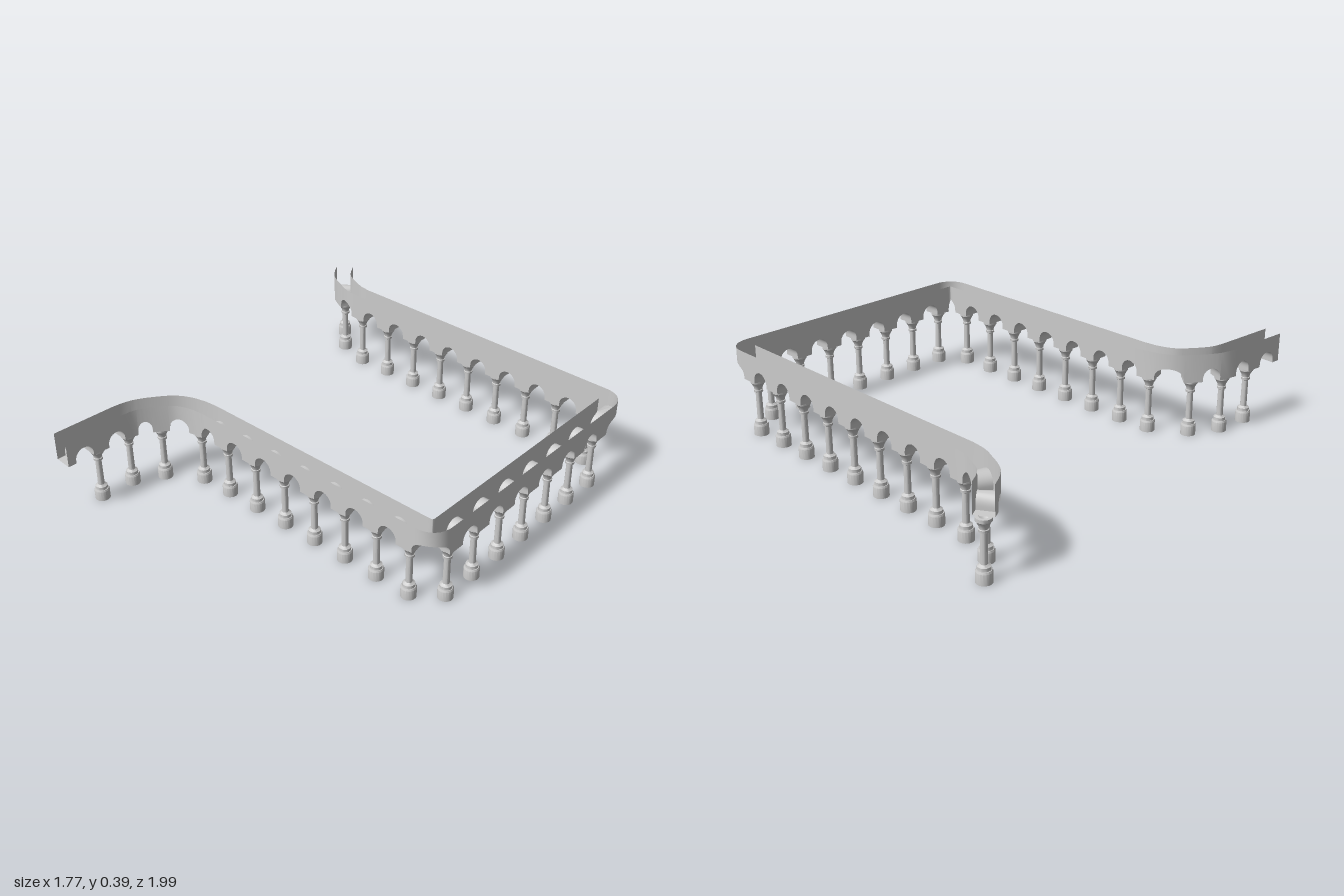
import * as THREE from 'three';
import { toCreasedNormals } from 'three/addons/utils/BufferGeometryUtils.js';

const HALF_WIDTH = 0.041, TOP = 0.388, SPRING = 0.26, STILT = 0.015, RISE = 0.045, PIER = 0.039;
const FRONT_Z = 0.433, BACK_Z = -0.802, SIDE_X = 0.843, BEND = 0.06;

const v = (x, z) => new THREE.Vector3(x, 0, z);

// Plan of the arcade: a curved wing, three straight runs with tight corners, a second curved wing
function createPath() {
  const path = new THREE.CurvePath();
  const line = (a, b) => path.add(new THREE.LineCurve3(a, b));
  const bend = (a, b, c) => path.add(new THREE.QuadraticBezierCurve3(a, b, c));
  const wing = (pts) => path.add(new THREE.CatmullRomCurve3(pts.map(([x, z]) => v(x, z))));
  line(v(-0.686, 0.99), v(-0.665, 0.69));
  wing([[-0.665, 0.69], [-0.653, 0.632], [-0.605, 0.55], [-0.54, 0.478], [-0.46, 0.443], [-0.38, FRONT_Z]]);
  line(v(-0.38, FRONT_Z), v(SIDE_X - BEND, FRONT_Z));
  bend(v(SIDE_X - BEND, FRONT_Z), v(SIDE_X, FRONT_Z), v(SIDE_X, FRONT_Z - BEND));
  line(v(SIDE_X, FRONT_Z - BEND), v(SIDE_X, BACK_Z + BEND));
  bend(v(SIDE_X, BACK_Z + BEND), v(SIDE_X, BACK_Z), v(SIDE_X - BEND, BACK_Z));
  line(v(SIDE_X - BEND, BACK_Z), v(-0.6, BACK_Z));
  wing([[-0.6, BACK_Z], [-0.66, -0.812], [-0.71, -0.832], [-0.785, -0.868], [-0.823, -0.908], [-0.855, -0.96]]);
  return path;
}

// Column positions in order along the plan
function columnSpots() {
  const spots = [v(-0.672, 0.824), v(-0.66, 0.663), v(-0.588, 0.535), v(-0.435, 0.44)];
  for (let i = 0; i < 7; i++) spots.push(v(-0.278 + i * 0.168, FRONT_Z));
  for (let i = 0; i < 7; i++) spots.push(v(SIDE_X, 0.342 - i * 0.1683));
  for (let i = 0; i < 9; i++) spots.push(v(0.732 - i * 0.1655, BACK_Z));
  spots.push(v(-0.755, -0.853), v(-0.855, -0.96));
  return spots;
}

// Distances along the path that lie nearest to each spot
function distancesAlong(path, length, spots) {
  const samples = [];
  for (let i = 0; i <= 3000; i++) samples.push(path.getPoint(i / 3000));
  return spots.map((s) => {
    let best = 0;
    samples.forEach((p, i) => {
      if (p.distanceToSquared(s) < samples[best].distanceToSquared(s)) best = i;
    });
    return (best / 3000) * length;
  });
}

// Underside line: flat piers joined by stilted round arches, as [distance, height]
function undersideStations(stops) {
  const stations = [];
  for (let i = 0; i + 1 < stops.length; i++) {
    const a = stops[i], b = stops[i + 1], mid = (a + b) / 2, r = (b - a) / 2 - PIER;
    stations.push([a, SPRING], [a + PIER, SPRING]);
    for (let k = 0; k <= 14; k++) {
      const t = Math.PI * (1 - k / 14);
      stations.push([mid + r * Math.cos(t), SPRING + STILT + RISE * Math.sin(t)]);
    }
    stations.push([b - PIER, SPRING], [b, SPRING]);
  }
  return stations;
}

// Strip between two equally long rows of points
function strip(rowA, rowB, crease) {
  const pos = [], idx = [];
  rowA.forEach((p, i) => {
    pos.push(...p, ...rowB[i]);
    if (i) idx.push(2 * i - 2, 2 * i, 2 * i - 1, 2 * i - 1, 2 * i, 2 * i + 1);
  });
  const geo = new THREE.BufferGeometry();
  geo.setAttribute('position', new THREE.Float32BufferAttribute(pos, 3));
  geo.setIndex(idx);
  return toCreasedNormals(geo, crease);
}

// Turned column: drum base, collar, slim shaft, neck ring, flared capital with open top
function columnGeometry() {
  const profile = [
    [0, 0], [0.033, 0], [0.033, 0.045], [0.029, 0.052], [0.026, 0.052], [0.026, 0.066], [0.018, 0.07],
    [0.0145, 0.074], [0.0135, 0.198], [0.02, 0.202], [0.02, 0.212], [0.017, 0.214], [0.02, 0.226],
    [0.029, 0.243], [0.032, 0.246], [0.032, SPRING], [0.018, SPRING],
  ];
  const geo = new THREE.LatheGeometry(profile.map(([r, y]) => new THREE.Vector2(r, y)), 18);
  return toCreasedNormals(geo, 0.6);
}

export function createModel() {
  const model = new THREE.Group();
  model.name = 'arcade';
  const material = new THREE.MeshStandardMaterial({ color: 0xcccccc, side: THREE.DoubleSide });
  const add = (name, geo, parent = model) => {
    const mesh = new THREE.Mesh(geo, material);
    mesh.name = name;
    parent.add(mesh);
    return mesh;
  };

  const path = createPath(), length = path.getLength(), spots = columnSpots();
  const stops = [0, ...distancesAlong(path, length, spots)];

  // Channel-shaped arcade: two thin walls and the arched underside, open on top
  const rows = { outerTop: [], outerLow: [], innerTop: [], innerLow: [] };
  for (const [s, y] of undersideStations(stops)) {
    const u = THREE.MathUtils.clamp(s / length, 0, 1);
    const p = path.getPoint(u), t = path.getTangent(u);
    const ox = -t.z * HALF_WIDTH, oz = t.x * HALF_WIDTH;
    rows.outerTop.push([p.x + ox, TOP, p.z + oz]);
    rows.outerLow.push([p.x + ox, y, p.z + oz]);
    rows.innerTop.push([p.x - ox, TOP, p.z - oz]);
    rows.innerLow.push([p.x - ox, y, p.z - oz]);
  }
  add('outerWall', strip(rows.outerLow, rows.outerTop, 0.4));
  add('innerWall', strip(rows.innerTop, rows.innerLow, 0.4));
  add('archUnderside', strip(rows.innerLow, rows.outerLow, 0.6));

  // Columns under every pier
  const columns = new THREE.Group();
  columns.name = 'columns';
  model.add(columns);
  const geo = columnGeometry();
  for (const spot of spots) add('column', geo, columns).position.copy(spot);

  return model;
}
